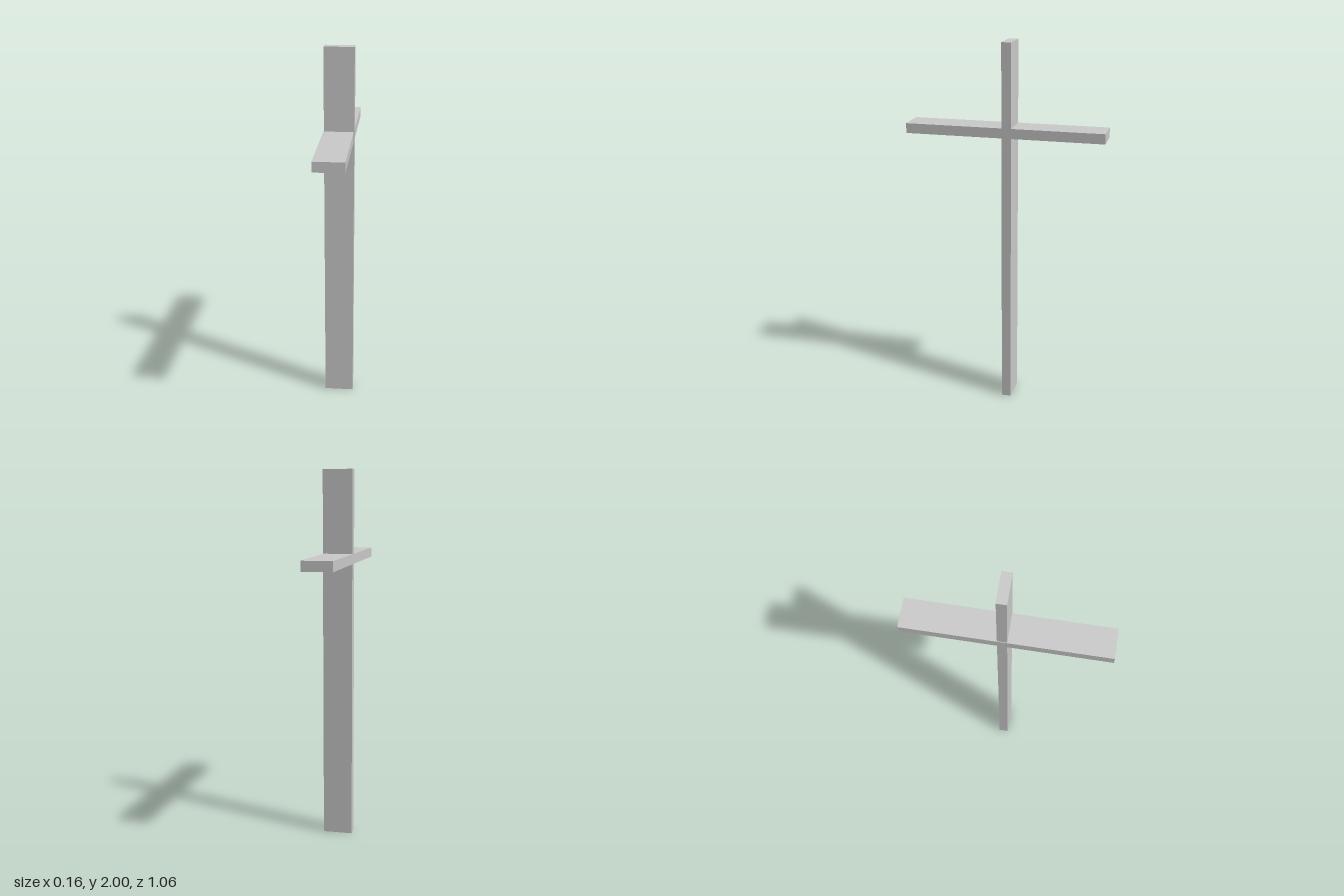
import * as THREE from 'three';

const material = new THREE.MeshStandardMaterial({ color: 0xcccccc, flatShading: true });

// Named plank from its size and centre
function plank(name, size, centre) {
  const mesh = new THREE.Mesh(new THREE.BoxGeometry(...size), material);
  mesh.name = name;
  mesh.position.set(...centre);
  return mesh;
}

export function createModel() {
  const group = new THREE.Group();
  group.name = 'cross';
  // Tall upright, set slightly behind the middle of the crossbeam
  group.add(plank('upright', [0.159, 2, 0.051], [0.001, 1, -0.017]));
  // Crossbeam running front to back through the upright
  group.add(plank('crossbeam', [0.159, 0.053, 1.064], [-0.002, 1.533, 0]));
  return group;
}
